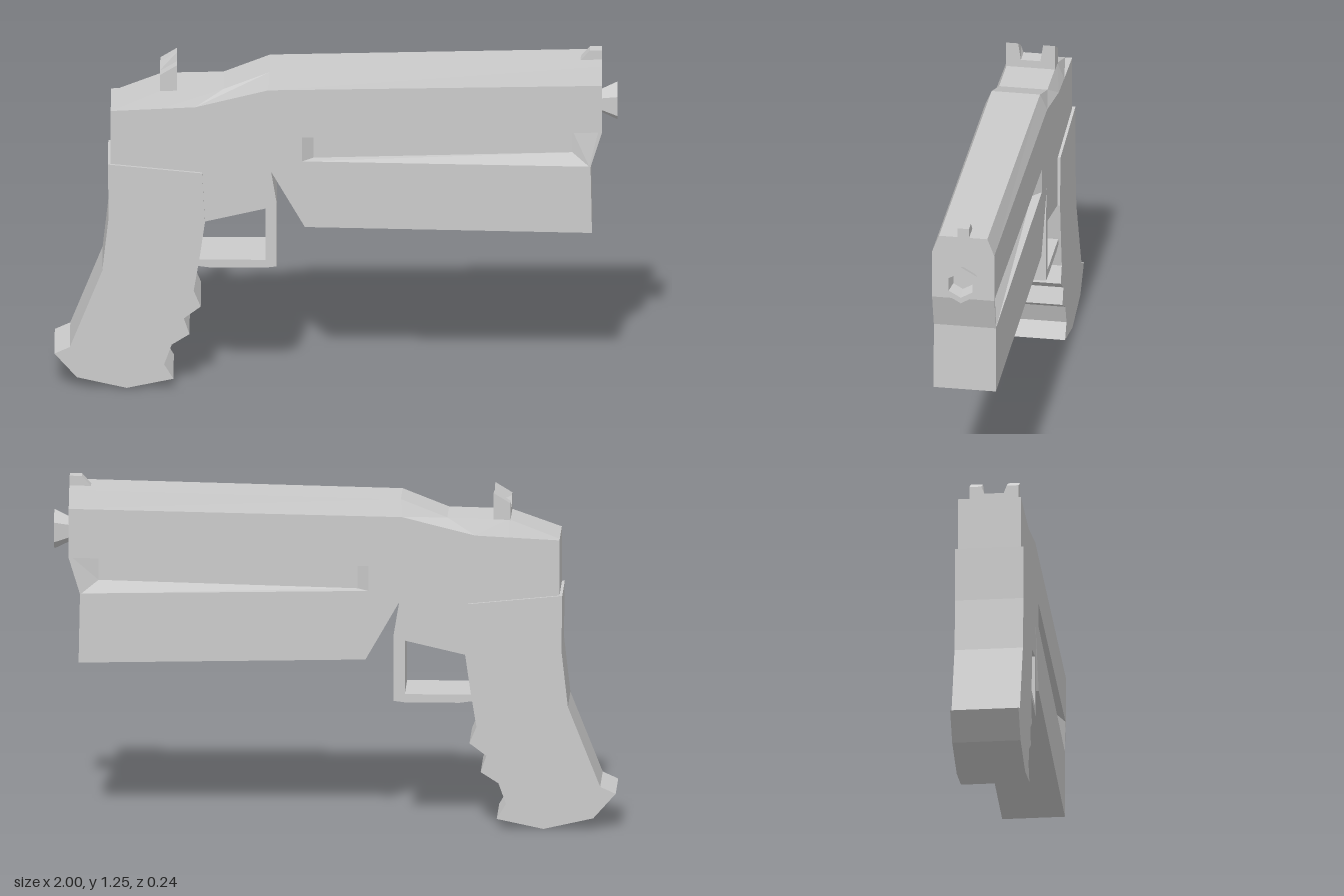
import * as THREE from 'three';
import { mergeGeometries } from 'three/addons/utils/BufferGeometryUtils.js';

const material = new THREE.MeshStandardMaterial({ color: 0xcccccc, flatShading: true });
const openMaterial = new THREE.MeshStandardMaterial({ color: 0xcccccc, flatShading: true, side: THREE.DoubleSide });

const toShape = (pts) => new THREE.Shape(pts.map(([x, y]) => new THREE.Vector2(x, y)));

// Skin between outlines of equal length, each { pts, z }, from low z to high z
function loft(rings) {
  const pos = [];
  for (let i = 0; i < rings.length - 1; i++) {
    const lo = rings[i], hi = rings[i + 1], n = lo.pts.length;
    for (let j = 0; j < n; j++) {
      const k = (j + 1) % n;
      const a = [...lo.pts[j], lo.z], b = [...lo.pts[k], lo.z];
      const c = [...hi.pts[k], hi.z], d = [...hi.pts[j], hi.z];
      pos.push(...a, ...b, ...c, ...a, ...c, ...d);
    }
  }
  const g = new THREE.BufferGeometry();
  g.setAttribute('position', new THREE.Float32BufferAttribute(pos, 3));
  return g;
}

// Flat face at depth z, facing +z (dir 1) or -z (dir -1)
function cap(pts, z, dir, hole) {
  const shape = toShape(pts);
  if (hole) shape.holes.push(toShape(hole));
  const g = new THREE.ShapeGeometry(shape);
  if (dir < 0) g.setIndex([...g.index.array].reverse());
  const flat = g.toNonIndexed().translate(0, 0, z);
  flat.deleteAttribute('uv');
  flat.deleteAttribute('normal');
  return flat;
}

function prism(pts, width) {
  return new THREE.ExtrudeGeometry(toShape(pts), { depth: width, bevelEnabled: false }).translate(0, 0, -width / 2);
}

function part(name, geometry, mat = material) {
  const mesh = new THREE.Mesh(geometry, mat);
  mesh.name = name;
  return mesh;
}

function bodyGeometry() {
  const W = 0.112, TOP = 0.087, FLOOR = 0.08;
  // Underside with finger guard, then the front end
  const lower = [
    [-0.8, 1.05], [-0.8, 0.8], [-0.6, 0.63], [-0.465, 0.63], [-0.25, 0.68], [-0.25, 0.485],
    [-0.52, 0.485], [-0.52, 0.465], [-0.445, 0.455], [-0.25, 0.455], [-0.21, 0.46], [-0.21, 0.7],
    [-0.23, 0.82], [-0.11, 0.61], [0.91, 0.59], [0.905, 0.84], [0.945, 0.97],
  ];
  // Shoulder line on the side, and the raised top edge it slopes up to
  const side = [...lower, [0.945, 1.15], [-0.24, 1.13], [-0.5, 1.065], [-0.62, 1.059]];
  const crown = [...lower, [0.945, 1.215], [-0.235, 1.19], [-0.4, 1.125], [-0.62, 1.12]];
  // Side groove, clockwise so that its walls face inwards
  const mouth = [[-0.12, 0.95], [0.932, 0.972], [0.9, 0.842], [-0.12, 0.86]];
  const bed = [[-0.08, 0.95], [0.84, 0.968], [0.84, 0.885], [-0.08, 0.862]];
  return mergeGeometries([
    loft([{ pts: side, z: -W }, { pts: crown, z: -TOP }, { pts: crown, z: TOP }, { pts: side, z: W }]),
    loft([{ pts: bed, z: FLOOR }, { pts: mouth, z: W }]),
    loft([{ pts: mouth, z: -W }, { pts: bed, z: -FLOOR }]),
    ...[1, -1].flatMap((s) => [cap(side, s * W, s, mouth), cap(bed, s * FLOOR, s)]),
  ]);
}

// Notched block whose top slopes down towards the rear
function rearSightGeometry() {
  const g = new THREE.ExtrudeGeometry(toShape([
    [-0.088, 1.1], [0.088, 1.1], [0.088, 1.215], [0.045, 1.215],
    [0.035, 1.15], [-0.035, 1.15], [-0.045, 1.215], [-0.088, 1.215],
  ]), { depth: 0.06, bevelEnabled: false });
  g.rotateY(Math.PI / 2).translate(-0.625, 0, 0);
  const p = g.attributes.position;
  for (let i = 0; i < p.count; i++) {
    if (p.getX(i) < -0.6 && p.getY(i) > 1.2) p.setY(i, 1.178);
  }
  return g;
}

export function createModel() {
  const model = new THREE.Group();
  const body = bodyGeometry();
  body.computeVertexNormals();
  model.add(part('body', body));

  // Grip with finger notches along its front
  model.add(part('grip', prism([
    [-0.81, 0.85], [-0.807, 0.65], [-0.83, 0.445], [-0.945, 0.155], [-1, 0.13], [-0.92, 0.04],
    [-0.743, 0], [-0.577, 0.035], [-0.61, 0.09], [-0.583, 0.165], [-0.52, 0.205], [-0.54, 0.265],
    [-0.48, 0.31], [-0.505, 0.37], [-0.485, 0.49], [-0.465, 0.63], [-0.475, 0.817],
  ], 0.244)));

  model.add(part('rearSight', rearSightGeometry()));
  model.add(part('frontSight', prism([
    [0.86, 1.205], [0.945, 1.205], [0.945, 1.25], [0.902, 1.25], [0.87, 1.214],
  ], 0.042)));

  // Flared six-sided nozzle, hollow at the end
  const profile = [[0.045, 0], [0.072, 0.055], [0.05, 0.055], [0.04, 0.005], [0, 0.005]];
  const nozzle = part('nozzle', new THREE.LatheGeometry(
    profile.map(([r, h]) => new THREE.Vector2(r, h)), 6, Math.PI / 2), openMaterial);
  nozzle.rotation.z = -Math.PI / 2;
  nozzle.position.set(0.945, 1.052, 0);
  model.add(nozzle);
  return model;
}
